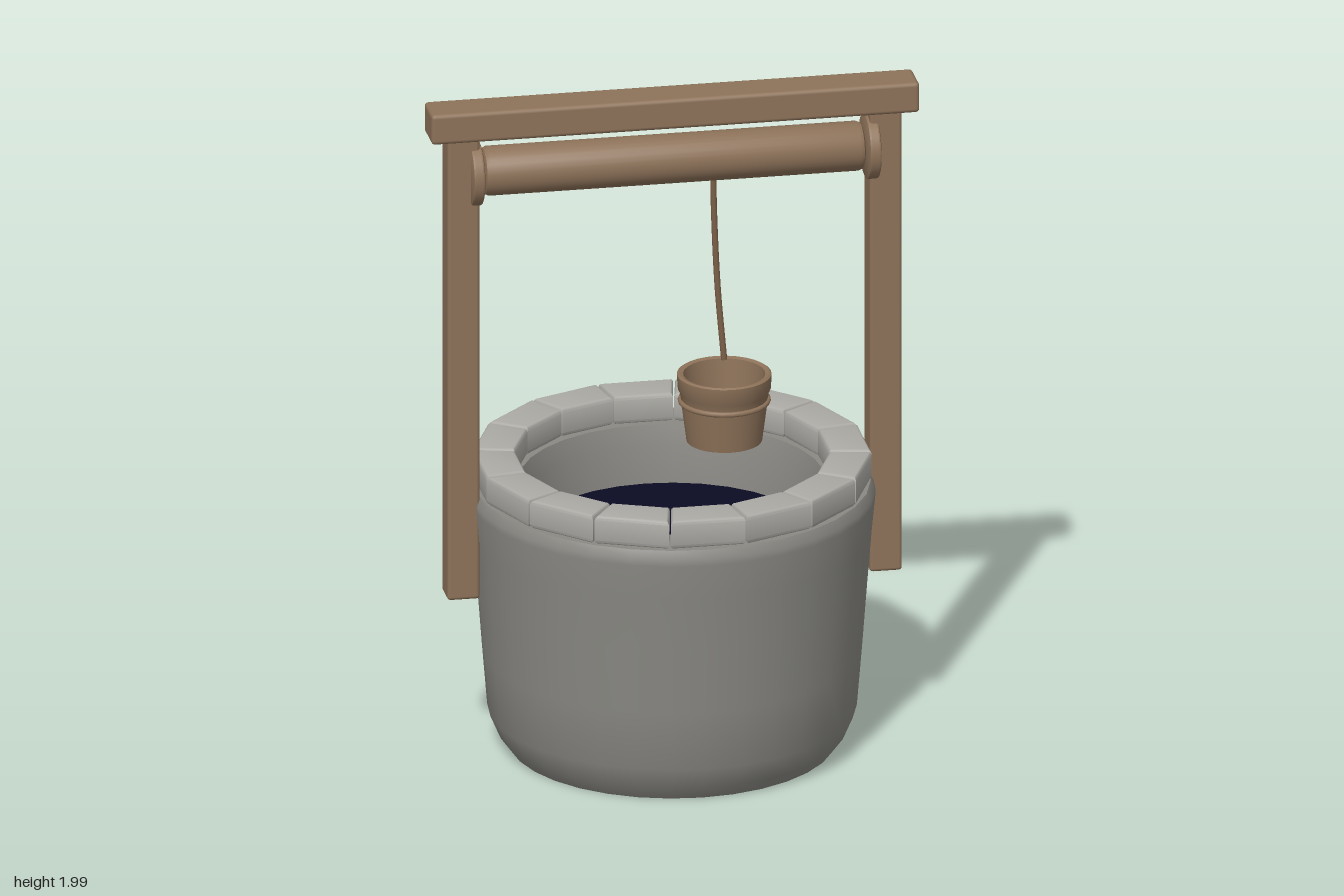
import * as THREE from 'three';
import { toCreasedNormals } from 'three/addons/utils/BufferGeometryUtils.js';
import { RoundedBoxGeometry } from 'three/addons/geometries/RoundedBoxGeometry.js';

const mat = (name, color, extra = {}) => {
  const m = new THREE.MeshStandardMaterial({ color, ...extra });
  m.name = name;
  return m;
};

export function createModel() {
  const wallStone = mat('wall stone', 0x8a8984);
  const rimStone = mat('rim stone', 0xabaaa5);
  const wood = mat('wood', 0x8d7259);
  const ropeBrown = mat('rope brown', 0x7a6048);
  const darkWater = mat('dark water', 0x0b0b22, { side: THREE.DoubleSide });

  const group = new THREE.Group();
  const add = (name, geometry, material, x = 0, y = 0, z = 0) => {
    const mesh = new THREE.Mesh(geometry, material);
    mesh.name = name;
    mesh.position.set(x, y, z);
    group.add(mesh);
    return mesh;
  };
  // profile runs up the outside, then down the inside
  const lathe = (profile, segments) => toCreasedNormals(
    new THREE.LatheGeometry(profile.map(([r, y]) => new THREE.Vector2(r, y)), segments), 0.6);

  // round wall, open at the bottom
  add('wellWall', lathe([
    [0.4, 0.01], [0.47, 0.01], [0.5, 0.05], [0.53, 0.12], [0.545, 0.3], [0.56, 0.5],
    [0.573, 0.66], [0.583, 0.765], [0.583, 0.785], [0.57, 0.81], [0.44, 0.81],
    [0.425, 0.75], [0.412, 0.6], [0.405, 0.3], [0.4, 0.01],
  ], 32), wallStone);

  // water surface
  add('water', new THREE.CircleGeometry(0.412, 32).rotateX(-Math.PI / 2), darkWater, 0, 0.64, 0);

  // ring of bevelled rim stones
  const STONES = 16, bevel = 0.012, inner = 0.442, outer = 0.563;
  const halfWidth = (r) => r * Math.tan(Math.PI / STONES) - 0.002 - bevel;
  const r0 = inner + bevel, r1 = outer - bevel;
  const outline = new THREE.Shape([
    new THREE.Vector2(-halfWidth(r0), r0), new THREE.Vector2(halfWidth(r0), r0),
    new THREE.Vector2(halfWidth(r1), r1), new THREE.Vector2(-halfWidth(r1), r1),
  ]);
  const stone = toCreasedNormals(new THREE.ExtrudeGeometry(outline, {
    depth: 0.086 - 2 * bevel, bevelEnabled: true,
    bevelSize: bevel, bevelThickness: bevel, bevelSegments: 3,
  }).rotateX(-Math.PI / 2), 0.6);
  for (let i = 0; i < STONES; i++) {
    add('rimStone', stone, rimStone, 0, 0.814 + bevel, 0).rotation.y = (i / STONES) * Math.PI * 2;
  }

  // posts and roller bearings on both sides
  const turned = (length, radius, b, segments) => lathe([
    [0, -length / 2], [radius - b, -length / 2], [radius - b * 0.3, -length / 2 + b * 0.3],
    [radius, -length / 2 + b], [radius, length / 2 - b],
    [radius - b * 0.3, length / 2 - b * 0.3], [radius - b, length / 2], [0, length / 2],
  ], segments).rotateZ(Math.PI / 2);
  for (const side of [-1, 1]) {
    add('post', new RoundedBoxGeometry(0.094, 1.42, 0.094, 2, 0.01), wood, side * 0.616, 1.21, 0);
    add('bearing', turned(0.034, 0.097, 0.007, 32), wood, side * 0.578, 1.795, 0);
  }

  // cross beam and roller
  add('crossBeam', new RoundedBoxGeometry(1.424, 0.092, 0.122, 2, 0.012), wood, 0, 1.954, 0);
  add('roller', turned(1.11, 0.072, 0.016, 32), wood, 0, 1.797, 0);

  // hanging rope
  const path = new THREE.CatmullRomCurve3([
    new THREE.Vector3(0.12, 1.76, 0), new THREE.Vector3(0.122, 1.62, 0.004),
    new THREE.Vector3(0.13, 1.4, 0.016), new THREE.Vector3(0.146, 1.18, 0.032),
  ]);
  add('rope', new THREE.TubeGeometry(path, 16, 0.009, 8), ropeBrown);

  // hollow bucket with a raised hoop
  const bx = 0.146, bz = 0.034;
  add('bucket', lathe([
    [0, 0.935], [0.109, 0.935], [0.124, 1.05], [0.128, 1.085], [0.134, 1.095], [0.136, 1.138],
    [0.13, 1.142], [0.118, 1.138], [0.1, 0.965], [0, 0.965],
  ], 28), wood, bx, 0, bz);
  add('bucketHoop', new THREE.TorusGeometry(0.126, 0.008, 8, 28).rotateX(Math.PI / 2), wood, bx, 1.058, bz);

  return group;
}
